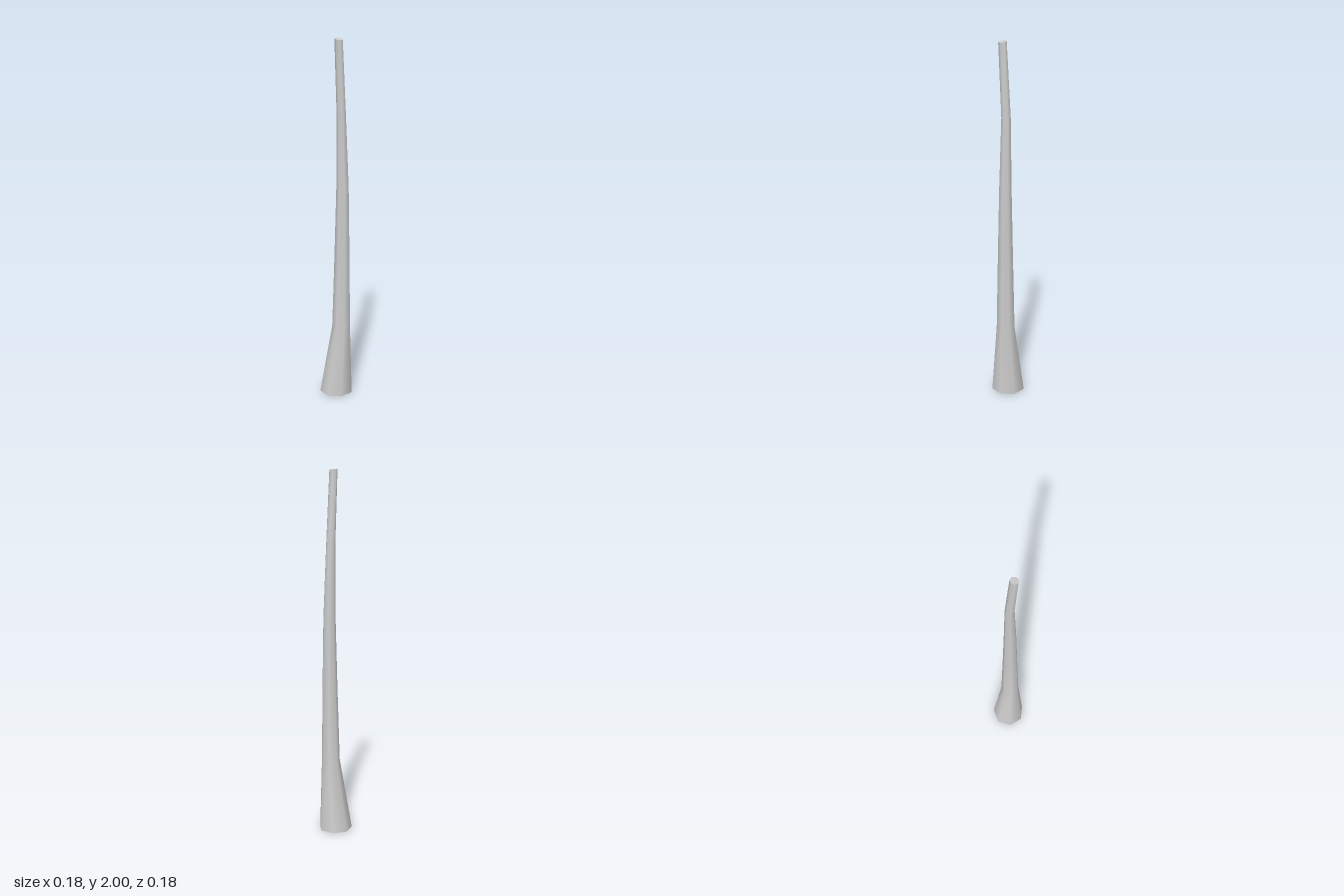
import * as THREE from 'three';
import { toCreasedNormals } from 'three/addons/utils/BufferGeometryUtils.js';

const SIDES = 7;
// rings from base to tip: height, centre x, centre z, radius, tilt along x, tilt along z
const RINGS = [
  [0.0, -0.0045, 0.0, 0.0926, 0, 0],
  [0.4, 0.025, 0.0, 0.0515, 0, 0],
  [0.8, 0.029, -0.001, 0.043, 0, 0],
  [1.2, 0.031, -0.002, 0.0345, 0, 0],
  [1.6, 0.023, -0.002, 0.0255, 0, 0],
  [1.995, 0.0165, 0.022, 0.0226, -0.18, -0.1],
];

export function createModel() {
  const group = new THREE.Group();
  group.name = 'bentTaperedPole';

  // capped seven-sided column with a corner facing +x
  const spans = RINGS.length - 1;
  const column = new THREE.CylinderGeometry(1, 1, spans, SIDES, spans, false, Math.PI / 2);
  const pos = column.attributes.position;

  // place each ring along the bending, tapering path
  for (let i = 0; i < pos.count; i++) {
    const [y, cx, cz, r, tiltX, tiltZ] = RINGS[Math.round(pos.getY(i) + spans / 2)];
    const dx = pos.getX(i) * r;
    const dz = pos.getZ(i) * r;
    pos.setXYZ(i, cx + dx, y + dx * tiltX + dz * tiltZ, cz + dz);
  }

  // smooth around the sides, sharp at the two end caps
  const geometry = toCreasedNormals(column, 1.2);
  const pole = new THREE.Mesh(geometry, new THREE.MeshStandardMaterial({ color: 0xcccccc }));
  pole.name = 'pole';
  group.add(pole);
  return group;
}
